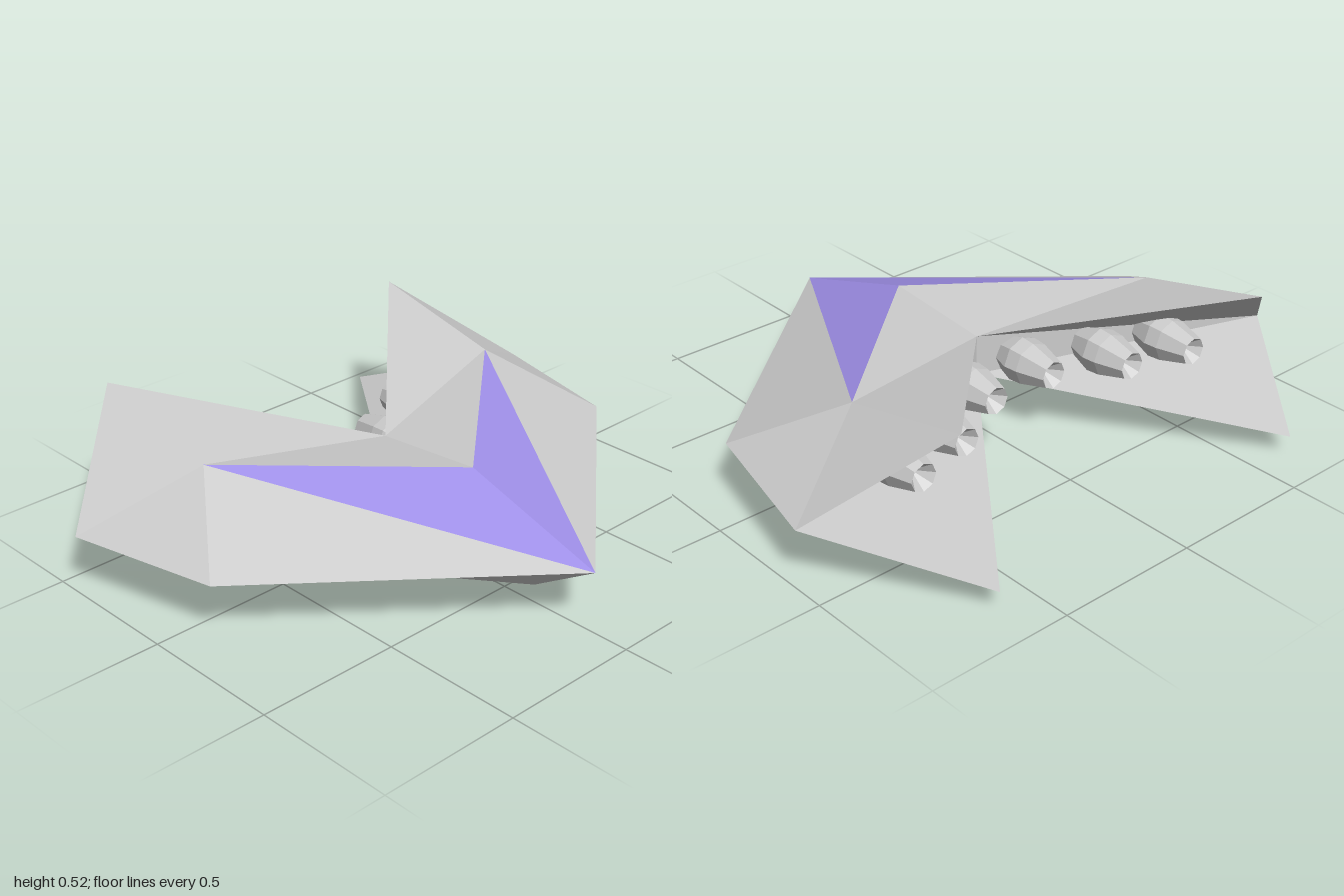
import * as THREE from 'three';

const grey = new THREE.MeshStandardMaterial({ color: 0xcccccc, flatShading: true });
const purple = new THREE.MeshStandardMaterial({ color: 0x9f8fe8, flatShading: true });

// Hull corners of the +x half
const P = {
  nose: [0, 0.213, 0.865], canopy: [0, 0.375, 0.35], notchTop: [0, 0.34, -0.05], notchLow: [0, 0.2, -0.05],
  side: [0.88, 0.21, 0.12], tip: [1, 0.21, -0.4], shoulder: [0.635, 0.405, -0.205],
  finTop: [0.635, 0.52, -0.7], finLow: [0.635, 0.075, -0.865],
  chin: [0, 0.065, 0.625], belly: [0.38, 0.003, -0.04], keel: [0.635, 0.055, -0.36],
};

// Triangles of each panel, counter-clockwise from outside on the +x half
const PANELS = {
  canopy: ['nose shoulder canopy'],
  upperHull: ['nose side shoulder', 'side tip shoulder', 'tip finTop shoulder',
    'shoulder finTop notchTop', 'shoulder notchTop canopy'],
  lowerHull: ['nose keel side', 'side keel tip', 'tip keel finLow', 'nose chin belly',
    'nose belly keel', 'chin notchLow belly', 'belly notchLow finLow', 'belly finLow keel'],
  engineBay: ['tip notchTop finTop', 'tip finLow notchLow', 'tip notchLow notchTop'],
};

function panel(name, faces, side) {
  const pos = [];
  for (const face of faces) {
    const corners = face.split(' ').map((key) => P[key]);
    if (side < 0) corners.reverse();
    for (const [x, y, z] of corners) pos.push(x * side, y, z);
  }
  const geo = new THREE.BufferGeometry();
  geo.setAttribute('position', new THREE.Float32BufferAttribute(pos, 3));
  geo.computeVertexNormals();
  const mesh = new THREE.Mesh(geo, name === 'canopy' ? purple : grey);
  mesh.name = name;
  return mesh;
}

// Faceted barrel engine with a hollow rear nozzle, pointing to -z
function engineGeometry() {
  const profile = [[0, 0], [0.055, 0], [0.08, 0.08], [0.076, 0.13], [0.048, 0.23], [0, 0.17]];
  const geo = new THREE.LatheGeometry(profile.map(([r, y]) => new THREE.Vector2(r, y)), 8);
  return geo.rotateX(-Math.PI / 2);
}

export function createModel() {
  const model = new THREE.Group();
  model.name = 'spaceship';
  const engineGeo = engineGeometry();
  for (const side of [1, -1]) {
    const half = new THREE.Group();
    half.name = side > 0 ? 'leftHalf' : 'rightHalf';
    for (const [name, faces] of Object.entries(PANELS)) half.add(panel(name, faces, side));
    // Three engines along the swept rear wall: x and rear end z
    for (const [x, end] of [[0.125, -0.285], [0.36, -0.41], [0.585, -0.475]]) {
      const engine = new THREE.Mesh(engineGeo, grey);
      engine.name = 'engine';
      engine.position.set(side * x, 0.247, end + 0.23);
      half.add(engine);
    }
    model.add(half);
  }
  return model;
}
